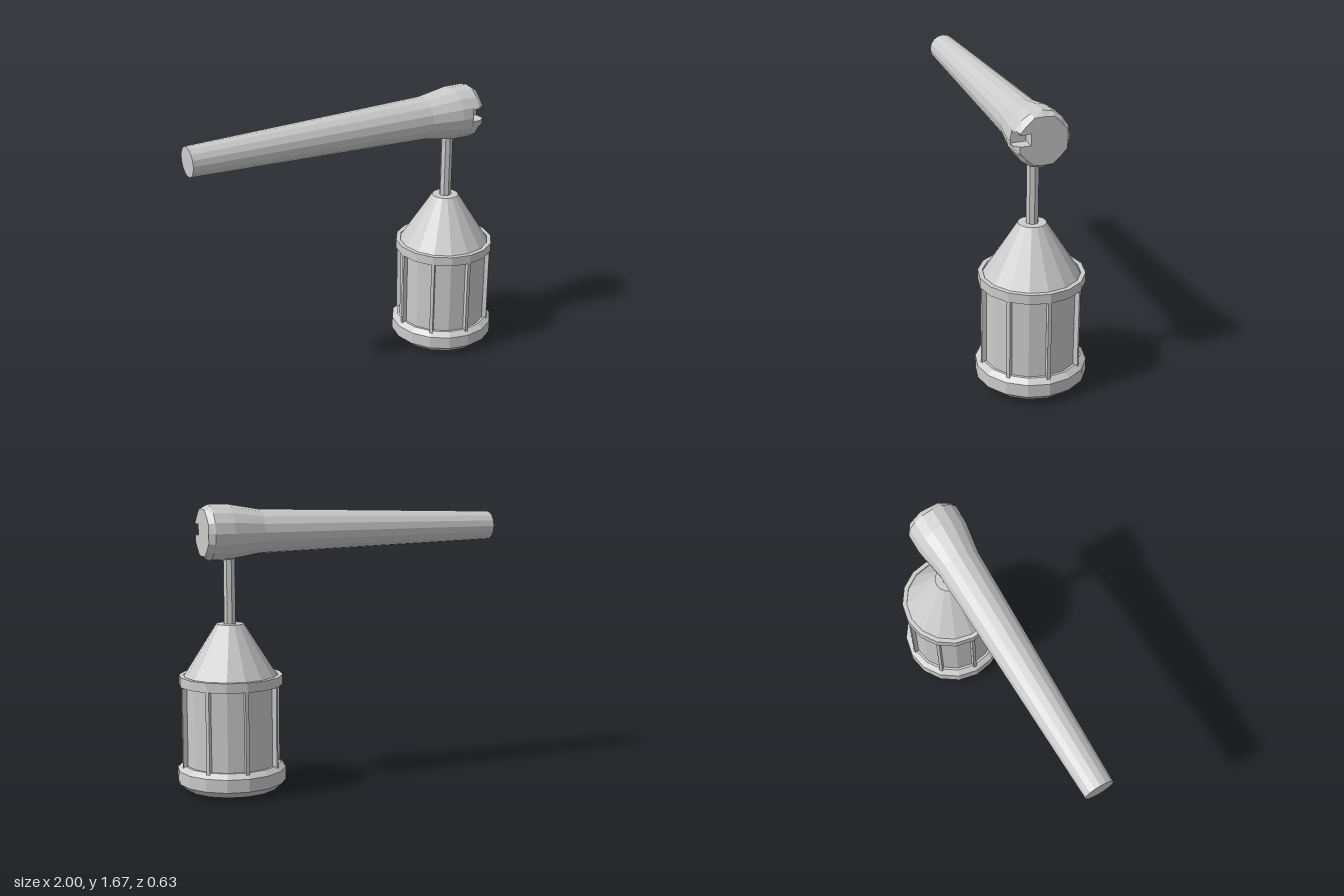
import * as THREE from 'three';

const SIDES = 16;
const LAMP_X = 0.68;
const ARM_Y = 1.508;

const material = new THREE.MeshStandardMaterial({ color: 0xcccccc, flatShading: true, side: THREE.DoubleSide });

function add(parent, name, geometry) {
  const mesh = new THREE.Mesh(geometry, material);
  mesh.name = name;
  parent.add(mesh);
  return mesh;
}

// Turned part from [radius, height] pairs, listed bottom to top
function turned(points, sides = SIDES) {
  return new THREE.LatheGeometry(points.map(([r, y]) => new THREE.Vector2(r, y)), sides);
}

// Bevelled arm tip with a slot in its +z side, built from notched cross-sections
function notchedTip() {
  const step = (Math.PI * 2) / SIDES;
  const angles = [0.32];
  for (let i = 1; i < SIDES; i++) angles.push(i * step);
  angles.push(Math.PI * 2 - 0.13);

  const section = (x, radius, wobble) => {
    const loop = angles.map((a, i) => {
      const r = radius + (i % 2 ? wobble : -wobble);
      return new THREE.Vector3(x, Math.sin(a) * r, Math.cos(a) * r);
    });
    loop.push(new THREE.Vector3(x, -0.018, 0.07), new THREE.Vector3(x, 0.048, 0.07));
    return loop;
  };
  const loops = [section(0.76, 0.16, 0), section(0.805, 0.16, 0), section(0.84, 0.138, 0.004)];

  const positions = [];
  const tri = (...corners) => corners.forEach((p) => positions.push(p.x, p.y, p.z));
  for (let s = 0; s < loops.length - 1; s++) {
    const a = loops[s];
    const b = loops[s + 1];
    for (let i = 0; i < a.length; i++) {
      const j = (i + 1) % a.length;
      tri(a[i], b[i], a[j]);
      tri(a[j], b[i], b[j]);
    }
  }
  // End face
  const end = loops[loops.length - 1];
  const outline = end.map((p) => new THREE.Vector2(p.z, p.y));
  for (const [i, j, k] of THREE.ShapeUtils.triangulateShape(outline, [])) tri(end[i], end[k], end[j]);

  const geometry = new THREE.BufferGeometry();
  geometry.setAttribute('position', new THREE.Float32BufferAttribute(positions, 3));
  geometry.computeVertexNormals();
  return geometry;
}

export function createModel() {
  const model = new THREE.Group();
  model.name = 'hangingLantern';

  // Horizontal arm
  const arm = new THREE.Group();
  arm.name = 'arm';
  arm.position.y = ARM_Y;
  model.add(arm);
  const shaft = turned([[0, -1], [0.087, -1], [0.128, 0.5], [0.16, 0.69], [0.16, 0.76], [0, 0.76]]);
  add(arm, 'armShaft', shaft.rotateZ(-Math.PI / 2));
  add(arm, 'armTip', notchedTip());

  // Lantern
  const lantern = new THREE.Group();
  lantern.name = 'lantern';
  lantern.position.x = LAMP_X;
  model.add(lantern);

  add(lantern, 'hangingRod', new THREE.CylinderGeometry(0.036, 0.036, 0.44, 8)).position.y = 1.18;
  add(lantern, 'roof', turned([[0, 0.66], [0.283, 0.66], [0.08, 0.982], [0, 0.982]]));
  add(lantern, 'upperRing', turned([[0.26, 0.628], [0.301, 0.628], [0.301, 0.684], [0.274, 0.684], [0.274, 0.655]]));
  add(lantern, 'glass', new THREE.CylinderGeometry(0.27, 0.27, 0.52, SIDES)).position.y = 0.4;
  add(lantern, 'base', turned([
    [0, 0], [0.19, 0.003], [0.272, 0.02], [0.317, 0.06], [0.317, 0.135], [0.285, 0.163], [0.25, 0.163],
  ]));

  // Upright bars around the glass
  const bars = new THREE.Group();
  bars.name = 'bars';
  lantern.add(bars);
  for (let i = 0; i < 8; i++) {
    const angle = (i * Math.PI) / 4;
    const bar = add(bars, 'bar', new THREE.BoxGeometry(0.02, 0.5, 0.04));
    bar.position.set(Math.sin(angle) * 0.275, 0.4, Math.cos(angle) * 0.275);
    bar.rotation.y = angle;
  }

  return model;
}
